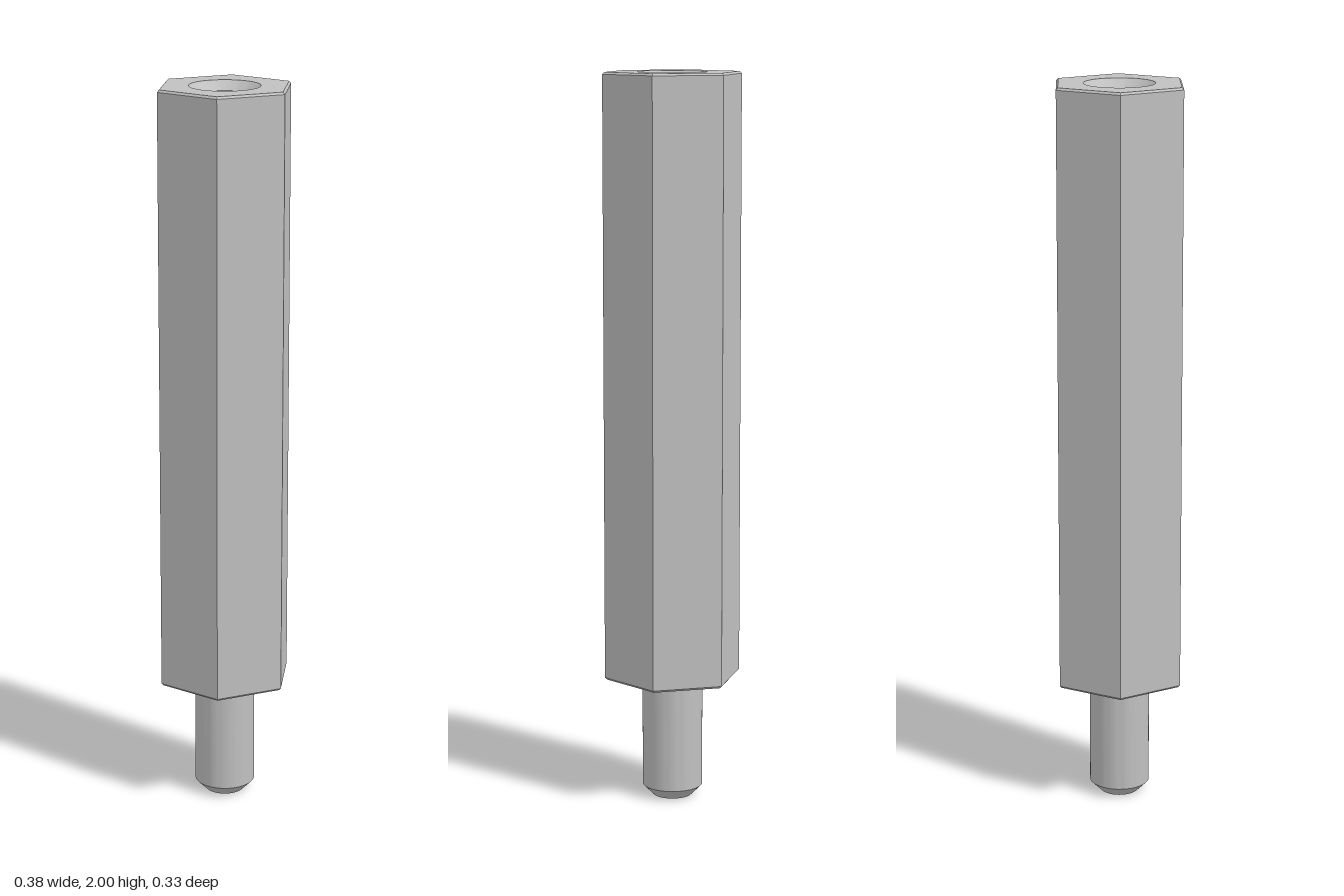
import * as THREE from 'three';
import { toCreasedNormals } from 'three/addons/utils/BufferGeometryUtils.js';

const HEX_R = 0.192, BEVEL = 0.006;   // hex corner radius and edge bevel
const BASE = 0.34, TOP = 2;           // hex body bottom and top
const STUD_R = 0.083, HOLE_R = 0.07, SINK_R = 0.095;

// Revolve [radius, height] points; sharp edges stay sharp.
function revolve(points, sides, crease) {
  const profile = points.map(([r, y]) => new THREE.Vector2(r, y));
  return toCreasedNormals(new THREE.LatheGeometry(profile, sides, Math.PI / 2), crease);
}

export function createModel() {
  const group = new THREE.Group();
  const metal = new THREE.MeshStandardMaterial({ color: 0xc0c0c0 });
  metal.name = 'silver metal';

  function add(name, geometry) {
    const mesh = new THREE.Mesh(geometry, metal);
    mesh.name = name;
    group.add(mesh);
    return mesh;
  }

  // Six-sided body with bevelled ends, open at the top
  add('hexBody', revolve([
    [0, BASE], [HEX_R - BEVEL, BASE], [HEX_R, BASE + BEVEL],
    [HEX_R, TOP - BEVEL], [HEX_R - BEVEL, TOP],
  ], 6, 0.1));

  // Top face with a round opening
  const face = new THREE.Shape();
  for (let i = 0; i < 6; i++) {
    const a = i * Math.PI / 3, r = HEX_R - BEVEL;
    face[i ? 'lineTo' : 'moveTo'](r * Math.cos(a), r * Math.sin(a));
  }
  face.closePath();
  face.holes.push(new THREE.Path().absarc(0, 0, SINK_R, 0, Math.PI * 2, true));
  const topFace = add('topFace', new THREE.ShapeGeometry(face, 32));
  topFace.rotation.x = -Math.PI / 2;
  topFace.position.y = TOP;

  // Countersunk blind hole, profile running downwards so it faces inwards
  add('hole', revolve([
    [SINK_R, TOP], [HOLE_R, TOP - 0.025], [HOLE_R, TOP - 0.4], [0, TOP - 0.4],
  ], 64, 0.4));

  // Round stud with a chamfered tip
  add('stud', revolve([
    [0, 0], [0.053, 0], [STUD_R, 0.03], [STUD_R, BASE],
  ], 64, 0.4));

  return group;
}
